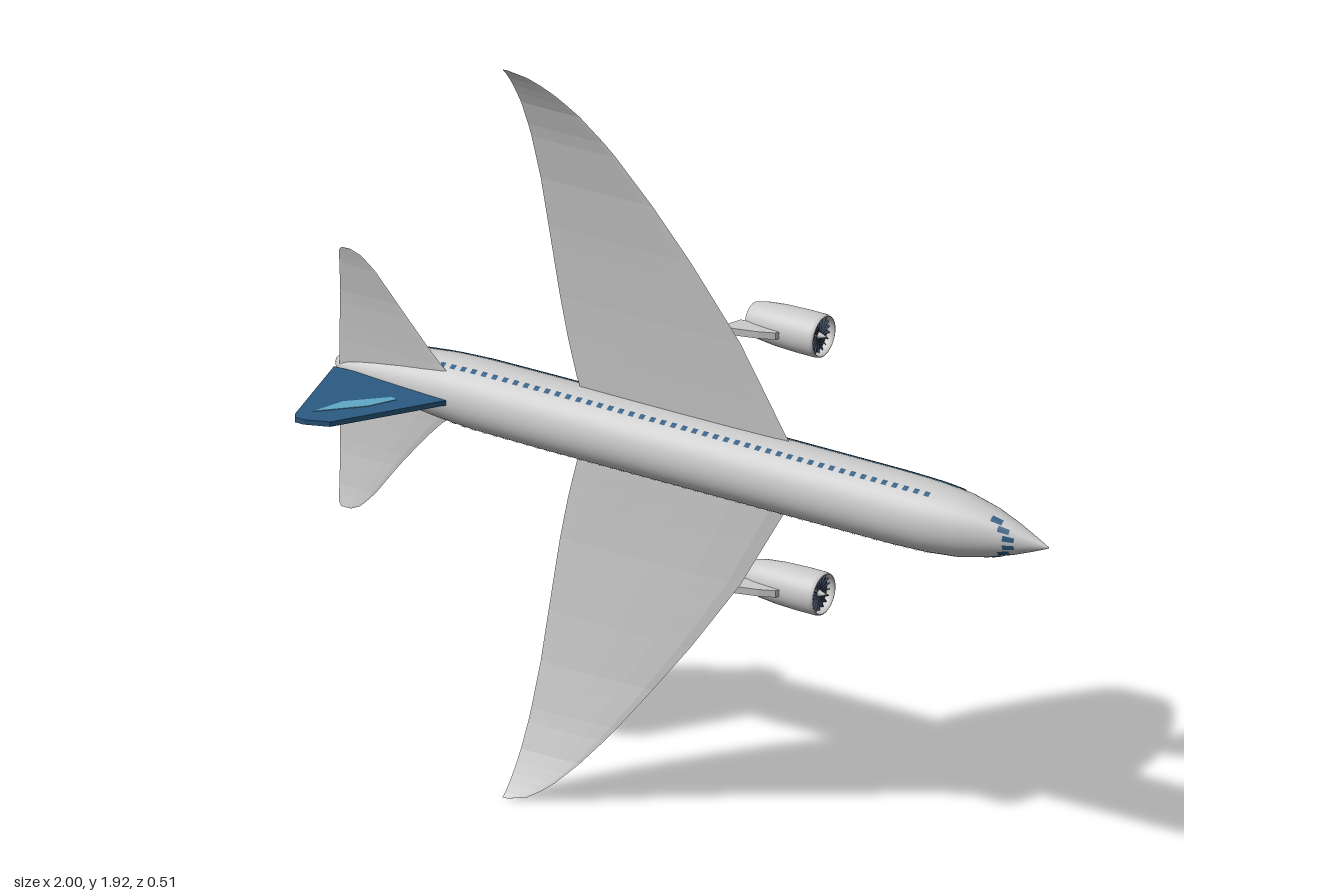
import * as THREE from 'three';

const grey = new THREE.MeshStandardMaterial({ color: 0xcccccc });
const greyThin = new THREE.MeshStandardMaterial({ color: 0xcccccc, flatShading: true, side: THREE.DoubleSide });
const greyShell = new THREE.MeshStandardMaterial({ color: 0xcccccc, side: THREE.DoubleSide });
const blue = new THREE.MeshStandardMaterial({ color: 0x2a5b82, side: THREE.DoubleSide });
const paleBlue = new THREE.MeshStandardMaterial({ color: 0x5fa9c6, side: THREE.DoubleSide });
const dark = new THREE.MeshStandardMaterial({ color: 0x3c4a5e, side: THREE.DoubleSide });

function add(parent, name, geometry, material) {
  const mesh = new THREE.Mesh(geometry, material);
  mesh.name = name;
  parent.add(mesh);
  return mesh;
}

function toGeometry(positions, index) {
  const g = new THREE.BufferGeometry();
  g.setAttribute('position', new THREE.Float32BufferAttribute(positions, 3));
  g.setIndex(index);
  g.computeVertexNormals();
  return g;
}

// Skin closed rings of equal length and cap both ends
function loft(rings) {
  const n = rings[0].length, pos = rings.flat(2), index = [];
  for (let i = 0; i < rings.length - 1; i++)
    for (let j = 0; j < n; j++) {
      const a = i * n + j, b = i * n + (j + 1) % n;
      index.push(a, b, a + n, b, b + n, a + n);
    }
  [0, rings.length - 1].forEach((r, end) => {
    for (let j = 1; j < n - 1; j++) {
      const [a, b, c] = [r * n, r * n + j, r * n + j + 1];
      index.push(...(end ? [a, b, c] : [a, c, b]));
    }
  });
  return toGeometry(pos, index);
}

// Linear lookup in a table of rows sorted by their first value
function lookup(table, v) {
  let i = 0;
  while (i < table.length - 2 && v > table[i + 1][0]) i++;
  const a = table[i], b = table[i + 1], t = (v - a[0]) / (b[0] - a[0]);
  return a.map((q, k) => q + (b[k] - q) * t);
}

// Fuselage stations: x, half width, lowest z, highest z
const stations = [
  [-1, 0.01, -0.1, -0.075], [-0.99, 0.018, -0.113, -0.06], [-0.96, 0.032, -0.137, -0.045],
  [-0.92, 0.045, -0.158, -0.038], [-0.87, 0.057, -0.175, -0.033], [-0.8, 0.069, -0.187, -0.027],
  [-0.7, 0.08, -0.194, -0.02], [-0.6, 0.086, -0.195, -0.015], [-0.4, 0.088, -0.195, -0.013],
  [0.58, 0.088, -0.195, -0.013], [0.68, 0.086, -0.191, -0.018], [0.76, 0.079, -0.182, -0.028],
  [0.84, 0.062, -0.163, -0.049], [0.91, 0.039, -0.139, -0.072], [0.96, 0.019, -0.12, -0.089],
  [0.99, 0.006, -0.109, -0.099], [1, 0.001, -0.105, -0.103]];

// Point on the fuselage skin; angle 0 is the side, a quarter turn is the roof
function skin(x, angle, lift = 0) {
  const [, w, lo, hi] = lookup(stations, x);
  return [x, (w + lift) * Math.cos(angle), (lo + hi) / 2 + ((hi - lo) / 2 + lift) * Math.sin(angle)];
}

// Panel following the fuselage skin
function skinPanel(x0, x1, a0, a1, nx, na, lift) {
  const pos = [], index = [];
  for (let i = 0; i <= nx; i++)
    for (let j = 0; j <= na; j++) {
      pos.push(...skin(x0 + (x1 - x0) * i / nx, a0 + (a1 - a0) * j / na, lift));
      if (i < nx && j < na) {
        const a = i * (na + 1) + j, c = a + na + 1;
        index.push(a, a + 1, c, a + 1, c + 1, c);
      }
    }
  return toGeometry(pos, index);
}

// Wing rows: y, leading x, trailing x, z, half thickness
function wingGeometry(rows, steps) {
  const rings = [], first = rows[0][0], last = rows[rows.length - 1][0];
  for (let i = 0; i <= steps; i++) {
    const s = i / steps;
    const [y, lead, trail, z, th] = lookup(rows, first + (last - first) * (1 - (1 - s) ** 1.4));
    rings.push(Array.from({ length: 12 }, (_, k) => {
      const t = k / 12 * Math.PI * 2, c = Math.cos(t);
      const taper = 0.65 + 0.35 * c;
      return [(lead + trail) / 2 + (lead - trail) / 2 * c, y, z - th * taper * Math.sin(t) - th * 0.5 * c];
    }));
  }
  return loft(rings);
}

// Flat plate outlined in x and z, centred on y = 0
function plate(points, depth) {
  const shape = new THREE.Shape(points.map(p => new THREE.Vector2(...p)));
  return new THREE.ExtrudeGeometry(shape, { depth, bevelEnabled: false })
    .rotateX(Math.PI / 2).translate(0, depth / 2, 0);
}

function engine() {
  const g = new THREE.Group();
  g.name = 'engine';
  const body = new THREE.Group();
  body.name = 'engineBody';
  body.rotation.z = -Math.PI / 2;
  body.position.set(0.2, 0.34, -0.206);
  g.add(body);
  const profile = [[0.031, -0.06], [0.037, -0.1], [0.04, -0.1], [0.047, -0.07], [0.052, -0.02],
    [0.054, 0.04], [0.054, 0.088], [0.052, 0.098], [0.049, 0.099], [0.047, 0.09], [0.046, 0.07]];
  add(body, 'nacelle', new THREE.LatheGeometry(profile.map(p => new THREE.Vector2(...p)), 32), greyShell);
  add(body, 'fanDisc', new THREE.CylinderGeometry(0.047, 0.047, 0.004, 32), dark).position.y = 0.076;
  add(body, 'exhaustDisc', new THREE.CylinderGeometry(0.035, 0.035, 0.004, 32), dark).position.y = -0.07;
  add(body, 'spinner', new THREE.ConeGeometry(0.012, 0.034, 16), grey).position.y = 0.092;
  const cone = add(body, 'exhaustCone', new THREE.ConeGeometry(0.018, 0.035, 16), dark);
  cone.rotation.x = Math.PI;
  cone.position.y = -0.086;
  // Fan blades
  for (let i = 0; i < 18; i++) {
    const blade = new THREE.BoxGeometry(0.036, 0.008, 0.0015).rotateX(0.5).translate(0.028, 0.083, 0);
    add(body, 'fanBlade', blade.rotateY(i / 18 * Math.PI * 2), dark);
  }
  const pylon = add(g, 'pylon',
    plate([[0.09, -0.165], [0.21, -0.165], [0.2, -0.145], [0.16, -0.128], [0.1, -0.112], [0.07, -0.112]], 0.018), grey);
  pylon.position.y = 0.34;
  return g;
}

export function createModel() {
  const model = new THREE.Group();
  model.name = 'airliner';
  const plane = new THREE.Group();
  plane.name = 'airframe';
  plane.position.y = 0.963;
  model.add(plane);

  add(plane, 'fuselage', loft(stations.map(([x]) =>
    Array.from({ length: 40 }, (_, k) => skin(x, k / 40 * Math.PI * 2)))), grey);

  // Painted belly
  add(plane, 'bellyPanel', skinPanel(-0.88, 0.73, -Math.PI + 0.27, -0.27, 40, 24, 0.0025), blue);

  // Vertical fin with its pale stripe
  add(plane, 'fin', plate([[-0.98, -0.037], [-0.915, 0.24], [-0.905, 0.255], [-0.88, 0.255],
    [-0.82, 0.232], [-0.65, -0.02], [-0.75, -0.045]], 0.013), blue);
  add(plane, 'finStripe', plate([[-0.885, 0.205], [-0.855, 0.12], [-0.77, 0.038],
    [-0.752, 0.042], [-0.79, 0.11]], 0.016), paleBlue);

  const wingRows = [
    [0, 0.31, -0.3, -0.121, 0.009], [0.09, 0.25, -0.335, -0.116, 0.009], [0.2, 0.19, -0.36, -0.11, 0.008],
    [0.32, 0.125, -0.38, -0.102, 0.007], [0.505, 0, -0.4, -0.083, 0.006], [0.64, -0.1, -0.412, -0.065, 0.005],
    [0.772, -0.2, -0.425, -0.038, 0.004], [0.86, -0.275, -0.434, -0.008, 0.003],
    [0.92, -0.335, -0.44, 0.024, 0.002], [0.95, -0.385, -0.444, 0.044, 0.0015], [0.96, -0.43, -0.446, 0.053, 0.001]];
  const tailRows = [
    [0, -0.6, -0.975, -0.055, 0.005], [0.09, -0.7, -0.972, -0.05, 0.004], [0.2, -0.79, -0.963, -0.04, 0.003],
    [0.3, -0.86, -0.955, -0.022, 0.002], [0.335, -0.895, -0.95, -0.012, 0.0012], [0.342, -0.915, -0.942, -0.01, 0.001]];

  // Paired parts, mirrored across the centre
  for (const side of [1, -1]) {
    const half = new THREE.Group();
    half.name = side > 0 ? 'upperHalf' : 'lowerHalf';
    half.scale.y = side;
    plane.add(half);
    add(half, 'wing', wingGeometry(wingRows, 24), greyThin);
    add(half, 'tailplane', wingGeometry(tailRows, 12), greyThin);
    half.add(engine());
    add(half, 'bellyTrim', skinPanel(-0.86, 0.73, -0.27, -0.235, 40, 1, 0.002), paleBlue);
    // Cabin windows
    for (let i = 0; i < 50; i++) {
      const x = -0.78 + i * 0.0298;
      add(half, 'cabinWindow', skinPanel(x - 0.007, x + 0.007, 0.4, 0.56, 1, 2, 0.0015), blue);
    }
    // Cockpit windows
    for (const [x, a] of [[0.905, 1.3], [0.89, 0.87], [0.867, 0.5]])
      add(half, 'cockpitWindow', skinPanel(x - 0.014, x + 0.014, a - 0.15, a + 0.16, 2, 3, 0.0015), blue);
  }
  return model;
}
